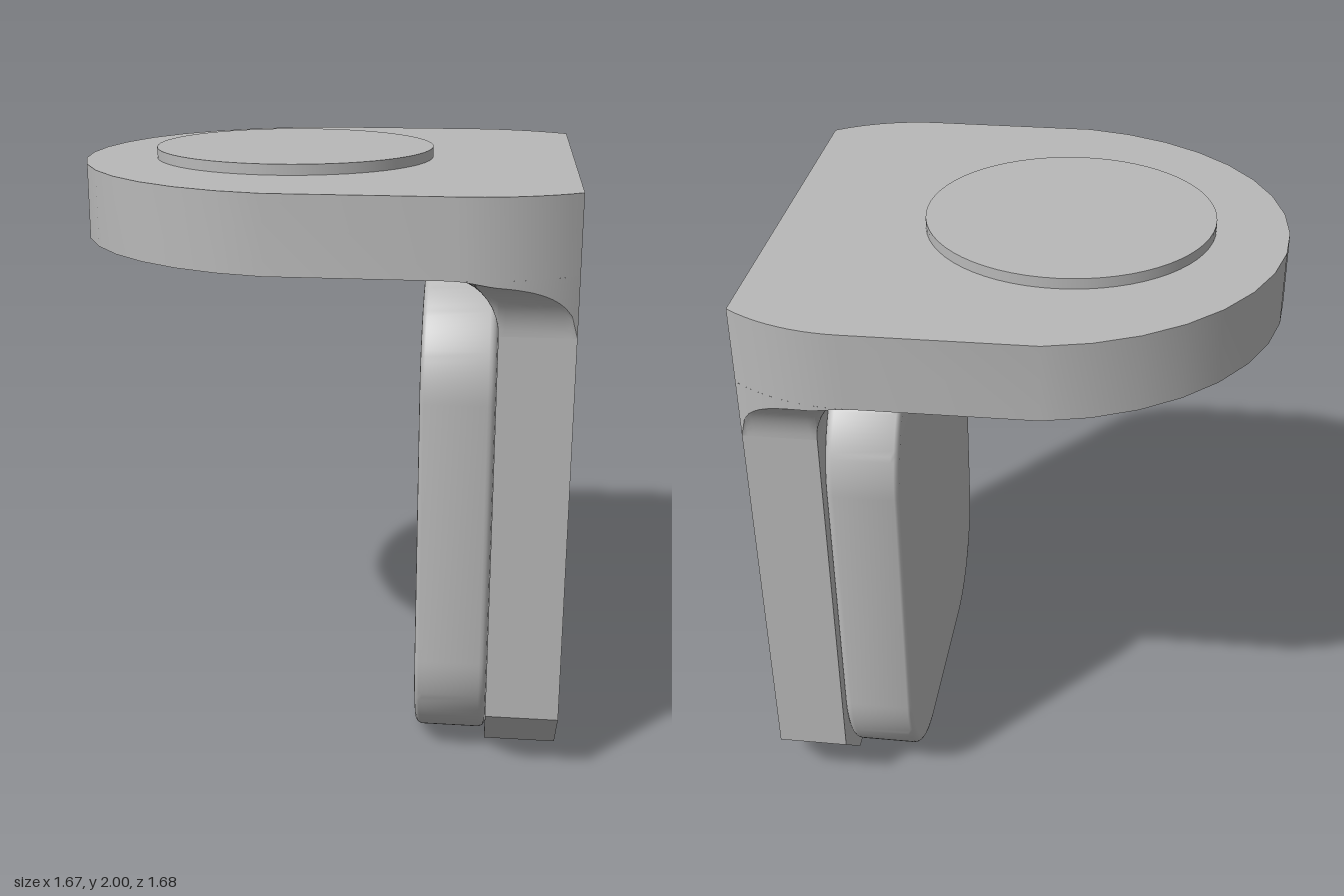
import * as THREE from 'three';
import { toCreasedNormals } from 'three/addons/utils/BufferGeometryUtils.js';

const HALF_WALL = 0.72, HALF_PLATE = 0.84;  // half widths in z
const WALL_IN = 0.595, WALL_OUT = 0.835;    // wall faces in x
const UNDER = 1.715, TOP = 1.965;           // plate underside and top
const FILLET = 0.195;
const CURVE_X = 0.47, CURVE_R = 0.615;      // curved taper of the plate sides

// Half width of the plate at a given x
function plateEdge(x) {
  const dx = Math.max(0, x - CURVE_X);
  return HALF_PLATE - CURVE_R + Math.sqrt(CURVE_R * CURVE_R - dx * dx);
}

function plateShape() {
  const half = [];
  for (let i = 0; i <= 10; i++) {
    const x = WALL_OUT + (CURVE_X - WALL_OUT) * i / 10;
    half.push([x, plateEdge(x)]);
  }
  for (let i = 8; i > 0; i--) {
    const a = THREE.MathUtils.degToRad(81.5 * i / 8);
    half.push([0.01 - 0.847 * Math.cos(a), Math.min(HALF_PLATE, 0.847 * Math.sin(a))]);
  }
  const mirrored = half.map(([x, z]) => [x, -z]).reverse();
  return new THREE.Shape([...half, [-0.837, 0], ...mirrored].map(([x, z]) => new THREE.Vector2(x, z)));
}

// Extrude a (z, y) outline along x
function extrudeX(shape, x, options) {
  const geo = new THREE.ExtrudeGeometry(shape, { bevelEnabled: false, ...options });
  return toCreasedNormals(geo.rotateY(Math.PI / 2).translate(x, 0, 0), 0.6);
}

// Concave blend running round the wall, trimmed where it meets the plate edge
function filletGeometry() {
  const half = [];
  for (let i = 0; i <= 12; i++) {
    half.push([WALL_OUT + (WALL_IN - WALL_OUT) * i / 12, HALF_WALL, 0, 1]);
  }
  for (let i = 1; i <= 16; i++) {
    const a = i / 16 * Math.PI / 2;
    half.push([WALL_IN, HALF_WALL, -Math.sin(a), Math.cos(a)]);
  }
  const stations = [...half, ...half.map(([x, z, dx, dz]) => [x, -z, dx, -dz]).reverse()];
  const positions = [], index = [], steps = 10, row = steps + 2;
  stations.forEach(([x, z, dx, dz], i) => {
    let lo = 0, hi = FILLET;
    const inside = d => Math.abs(z + dz * d) <= plateEdge(x + dx * d);
    if (inside(hi)) lo = hi;
    else for (let k = 0; k < 30; k++) {
      const mid = (lo + hi) / 2;
      if (inside(mid)) lo = mid; else hi = mid;
    }
    const sweep = Math.acos(1 - lo / FILLET);
    for (let j = 0; j < row; j++) {
      const a = sweep * Math.min(j, steps) / steps;
      const d = FILLET * (1 - Math.cos(a));
      // the last point carries the plate rim down to the blend
      const y = j > steps ? UNDER : UNDER - FILLET + FILLET * Math.sin(a);
      positions.push(x + dx * d, y, z + dz * d);
      if (i < stations.length - 1 && j < row - 1) {
        const p = i * row + j;
        index.push(p, p + 1, p + row, p + 1, p + row + 1, p + row);
      }
    }
  });
  const geo = new THREE.BufferGeometry();
  geo.setAttribute('position', new THREE.Float32BufferAttribute(positions, 3));
  geo.setIndex(index);
  return toCreasedNormals(geo, 0.5);
}

export function createModel() {
  const group = new THREE.Group();
  const grey = new THREE.MeshStandardMaterial({ color: 0xb8b8b8 });
  grey.name = 'plain grey';
  const add = (name, geo) => {
    const mesh = new THREE.Mesh(geo, grey);
    mesh.name = name;
    group.add(mesh);
    return mesh;
  };

  // Rounded top plate
  const plate = new THREE.ExtrudeGeometry(plateShape(), { depth: TOP - UNDER, bevelEnabled: false });
  add('topPlate', toCreasedNormals(plate.rotateX(-Math.PI / 2).translate(0, UNDER, 0), 0.5));

  // Raised disc
  add('raisedDisc', new THREE.CylinderGeometry(0.477, 0.477, 2 - TOP, 64))
    .position.set(-0.122, (2 + TOP) / 2, 0);

  // Upright wall with chamfered lower corners
  const wall = new THREE.Shape([
    [-0.54, 0.04], [0.54, 0.04], [HALF_WALL, 0.22], [HALF_WALL, UNDER],
    [-HALF_WALL, UNDER], [-HALF_WALL, 0.22],
  ].map(([z, y]) => new THREE.Vector2(z, y)));
  add('uprightWall', extrudeX(wall, WALL_IN, { depth: WALL_OUT - WALL_IN }));

  add('wallFillet', filletGeometry());

  // Rounded pad on the inner face, with softened edges
  const bevel = 0.025, r = 0.39 - bevel, cz = 0.3, low = 0.395, high = 1.285;
  const pad = new THREE.Shape();
  pad.absarc(cz, low, r, -Math.PI / 2, 0);
  pad.absarc(cz, high, r, 0, Math.PI / 2);
  pad.absarc(-cz, high, r, Math.PI / 2, Math.PI);
  pad.absarc(-cz, low, r, Math.PI, Math.PI * 1.5);
  add('innerPad', extrudeX(pad, 0.355 + bevel, {
    depth: 0.24 - 2 * bevel, curveSegments: 16, bevelEnabled: true,
    bevelSize: bevel, bevelThickness: bevel, bevelSegments: 4,
  }));

  return group;
}
